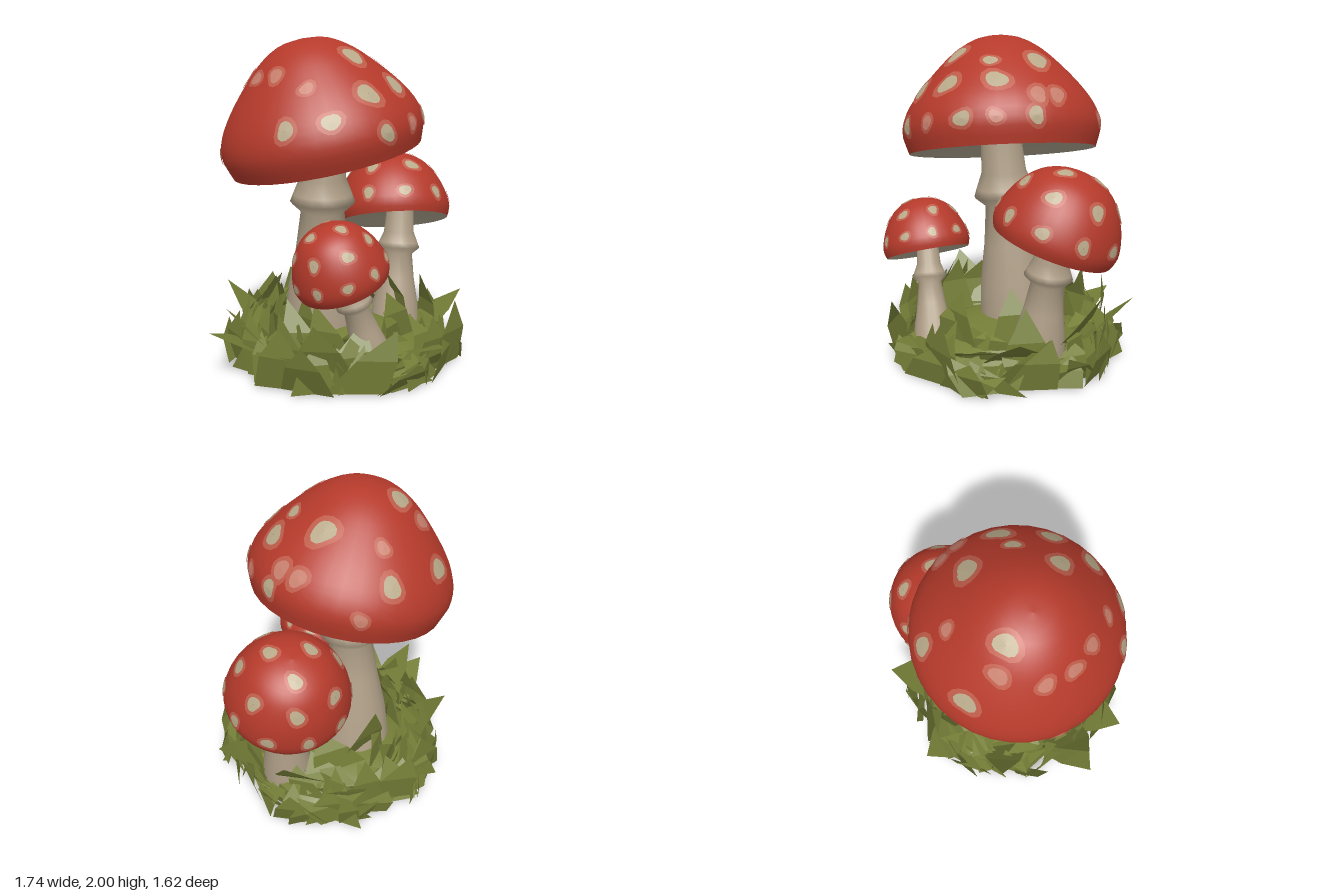
import * as THREE from 'three';

const mat = (name, color, side = THREE.FrontSide) => {
  const m = new THREE.MeshStandardMaterial({ color, side });
  m.name = name;
  return m;
};
const V = (x, y, z) => new THREE.Vector3(x, y, z);
const UP = V(0, 1, 0);

function mesh(name, geometry, material) {
  const m = new THREE.Mesh(geometry, material);
  m.name = name;
  return m;
}

const lathe = (rows, r, h, sides) =>
  new THREE.LatheGeometry(rows.map(p => new THREE.Vector2(p[0] * r, p[1] * h)), sides);

// Outlines as [radius, height] fractions: caps from apex to rim, stem from base to top
const CONE = [[0, 1], [0.22, 0.975], [0.43, 0.875], [0.64, 0.705], [0.85, 0.49], [0.96, 0.33], [1, 0.18], [0.94, 0]];
const ROUND = [[0, 1], [0.3, 0.96], [0.6, 0.83], [0.85, 0.56], [0.98, 0.28], [1, 0.12], [0.95, 0]];
const GILLS = [[0, 0.2], [0.3, 0.19], [0.65, 0.13], [0.9, 0.03], [1, 0]];
const STEM = [[1, 0], [0.9, 0.2], [0.7, 0.4], [0.57, 0.6], [0.85, 0.65], [0.77, 0.69], [0.6, 0.77], [0.52, 1]];

// Spot rows: distance from apex to rim, size (negative for pink only), angles in degrees
const evenly = (n, phase) => Array.from({ length: n }, (_, i) => phase + (i * 360) / n);
const LARGE_SPOTS = [
  [0.2, 0.1, [275]], [0.36, 0.1, [85]], [0.36, -0.08, [263]], [0.38, -0.07, [167, 193, 221]],
  [0.46, 0.11, [5]], [0.46, 0.065, [45]], [0.47, -0.06, [318]], [0.5, -0.06, [140]],
  [0.62, 0.1, [40, 73, 102, 272]], [0.67, 0.09, [313]], [0.72, 0.08, [130, 155]], [0.73, -0.08, [5, 17]],
  [0.85, 0.075, [59, 102, 20]], [0.85, -0.06, [81, 41, 215, 328]],
];
const SMALL_SPOTS = [[0.2, 0.11, evenly(3, 80)], [0.5, 0.11, evenly(7, 12)], [0.8, 0.095, evenly(10, 22)]];

// Patch that hugs the cap between two radii around a point of its surface
function spotPatch(curve, t0, theta, inner, outer) {
  const n = 14, pos = [], idx = [], L = curve.getLength();
  const d0 = t0 * L, stretch = d0 / curve.getPointAt(t0).x;
  for (const rad of [inner, outer]) {
    for (let k = 0; k < n; k++) {
      const f = (k / n) * Math.PI * 2;
      const rr = rad * (1 + 0.13 * Math.sin(2 * f + theta * 5) + 0.08 * Math.sin(3 * f + theta * 9));
      const u = d0 + rr * Math.cos(f), v = rr * Math.sin(f) * stretch;
      const a = theta + Math.atan2(v, u), t = Math.min(Math.hypot(u, v) / L, 0.985);
      const p = curve.getPointAt(t), g = curve.getTangentAt(t);
      const r = p.x - g.y * 0.005;
      pos.push(r * Math.cos(a), p.y + g.x * 0.005, r * Math.sin(a));
      const j = (k + 1) % n;
      if (rad === outer) idx.push(k, j, n + k, j, n + j, n + k);
    }
  }
  const geo = new THREE.BufferGeometry();
  geo.setAttribute('position', new THREE.Float32BufferAttribute(pos, 3));
  geo.setIndex(idx);
  geo.computeVertexNormals();
  return geo;
}

function makeCap({ outline, R, H, at, axis, spots }, mats) {
  const cap = new THREE.Group();
  cap.name = 'cap';
  cap.position.set(...at);
  cap.quaternion.setFromUnitVectors(UP, V(...axis).normalize());

  const curve = new THREE.CatmullRomCurve3(outline.map(([r, h]) => V(r * R, h * H, 0)));
  const profile = curve.getSpacedPoints(20).reverse().map(p => [Math.max(p.x, 0), p.y]);
  cap.add(mesh('capTop', lathe(profile, 1, 1, 36), mats.red));
  cap.add(mesh('gills', lathe(GILLS, profile[0][0], H, 36), mats.gill));

  // Cream or pink spots, each fading into the red through a rosy border
  for (const [t, size, angles] of spots) {
    const core = Math.abs(size) * R;
    for (const deg of angles) {
      const theta = THREE.MathUtils.degToRad(deg);
      cap.add(mesh('spot', spotPatch(curve, t, theta, 0.001, core), size > 0 ? mats.spot : mats.pink));
      cap.add(mesh('spotBorder', spotPatch(curve, t, theta, core, core * 1.5), mats.rose));
    }
  }
  return cap;
}

// Leaning stem with a flared collar
function makeStem({ from, to, radius }, mats) {
  const a = V(...from), dir = V(...to).sub(a);
  const stem = mesh('stem', lathe(STEM, radius, dir.length(), 16), mats.stem);
  stem.position.copy(a);
  stem.quaternion.setFromUnitVectors(UP, dir.normalize());
  return stem;
}

const MUSHROOMS = [
  {
    name: 'largeMushroom',
    cap: { outline: CONE, R: 0.625, H: 0.725, at: [-0.09, 1.28, -0.05], axis: [-0.2, 1, -0.1], spots: LARGE_SPOTS },
    stem: { from: [-0.055, 0.18, -0.135], to: [-0.12, 1.44, -0.05], radius: 0.24 },
  },
  {
    name: 'mediumMushroom',
    cap: { outline: ROUND, R: 0.38, H: 0.46, at: [0.48, 0.81, 0.04], axis: [0.24, 1, -0.27], spots: SMALL_SPOTS },
    stem: { from: [0.42, 0.08, 0.1], to: [0.53, 0.92, 0.06], radius: 0.17 },
  },
  {
    name: 'smallMushroom',
    cap: { outline: ROUND, R: 0.28, H: 0.36, at: [-0.38, 0.62, 0.34], axis: [-0.4, 1, -0.07], spots: SMALL_SPOTS },
    stem: { from: [-0.19, 0.06, 0.43], to: [-0.39, 0.7, 0.34], radius: 0.13 },
  },
];

// Tips of the biggest grass blades
const TIPS = [[-0.8, 0.45, -0.2], [-0.87, 0.27, 0.13], [-0.87, 0.3, -0.27], [0.12, 0.28, -0.82],
  [0.76, 0.53, -0.1], [0.66, 0.42, -0.48], [0.69, 0.36, 0.45], [0.16, 0.63, -0.4], [-0.4, 0.45, -0.65], [-0.04, 0.24, 0.8]];

const MOUND_RADIUS = 0.64, MOUND_HEIGHT = 0.22;
const moundY = r => MOUND_HEIGHT * Math.max(0, 1 - (r / MOUND_RADIUS) ** 3);

function makeGrass(material) {
  let s = 11;
  const rnd = (a, b) => a + (b - a) * ((s = (s * 16807) % 2147483647) / 2147483647);
  const pos = [];
  // A blade is a wide bent strip that narrows to a point
  const blade = (base, tip, angle, w, turn) => {
    const side = V(-Math.sin(angle), 0, Math.cos(angle)).applyAxisAngle(UP, turn).multiplyScalar(w / 2);
    const mid = base.clone().lerp(tip, 0.5).add(V(Math.cos(angle) * 0.03, 0.02, Math.sin(angle) * 0.03));
    const a = base.clone().add(side), b = base.clone().sub(side);
    const c = mid.clone().addScaledVector(side, 0.65), d = mid.clone().addScaledVector(side, -0.65);
    for (const p of [a, c, b, b, c, d, c, tip, d]) pos.push(p.x, p.y, p.z);
  };
  for (const [x, y, z] of TIPS) {
    blade(V(x * 0.6, 0.12, z * 0.6), V(x, y, z), Math.atan2(z, x), 0.36, rnd(-0.3, 0.3));
  }
  // Spiral of broad blades, upright or leaning in and out, kept low before the small stems
  for (let i = 0; i < 130; i++) {
    const ang = i * 2.4, r = i % 3 ? rnd(0.58, 0.7) : rnd(0.38, 0.58);
    const low = [0.15, 0.95, 1.9].some(a => Math.cos(ang - a) > 0.96);
    const reach = r + rnd(-0.14, 0.12), lean = ang + rnd(-0.4, 0.4);
    const h = low ? rnd(0.08, 0.17) : rnd(0.14, 0.4);
    const y = moundY(r) + 0.01;
    blade(V(r * Math.cos(ang), y, r * Math.sin(ang)),
      V(reach * Math.cos(lean), 0.05 + y * 0.4 + h, reach * Math.sin(lean)), ang, rnd(0.2, 0.38), rnd(-0.5, 0.5));
  }
  const geo = new THREE.BufferGeometry();
  geo.setAttribute('position', new THREE.Float32BufferAttribute(pos, 3));
  geo.computeVertexNormals();
  return mesh('grassBlades', geo, material);
}

export function createModel() {
  const mats = {
    red: mat('capRed', 0xb53a2b), rose: mat('spotRose', 0xbf5c4a), pink: mat('spotPink', 0xc8806e),
    spot: mat('spotCream', 0xb9aa8a), stem: mat('stemBeige', 0xb0a088), gill: mat('gillGrey', 0xaea48f),
    grass: mat('grassGreen', 0x767f38, THREE.DoubleSide), soil: mat('soilGrey', 0xa3978a, THREE.BackSide),
  };
  const model = new THREE.Group();
  model.name = 'mushroomCluster';
  for (const m of MUSHROOMS) {
    const g = new THREE.Group();
    g.name = m.name;
    g.add(makeStem(m.stem, mats), makeCap(m.cap, mats));
    model.add(g);
  }
  // Grassy mound, hollow and earthy underneath
  const dome = [1, 0.9, 0.75, 0.5, 0.25, 0].map(k => [k, 1 - k ** 3]);
  model.add(mesh('mound', lathe(dome, MOUND_RADIUS, MOUND_HEIGHT, 10), mats.grass));
  model.add(mesh('soil', lathe(dome, MOUND_RADIUS - 0.01, MOUND_HEIGHT - 0.01, 10), mats.soil));
  model.add(makeGrass(mats.grass));
  return model;
}
